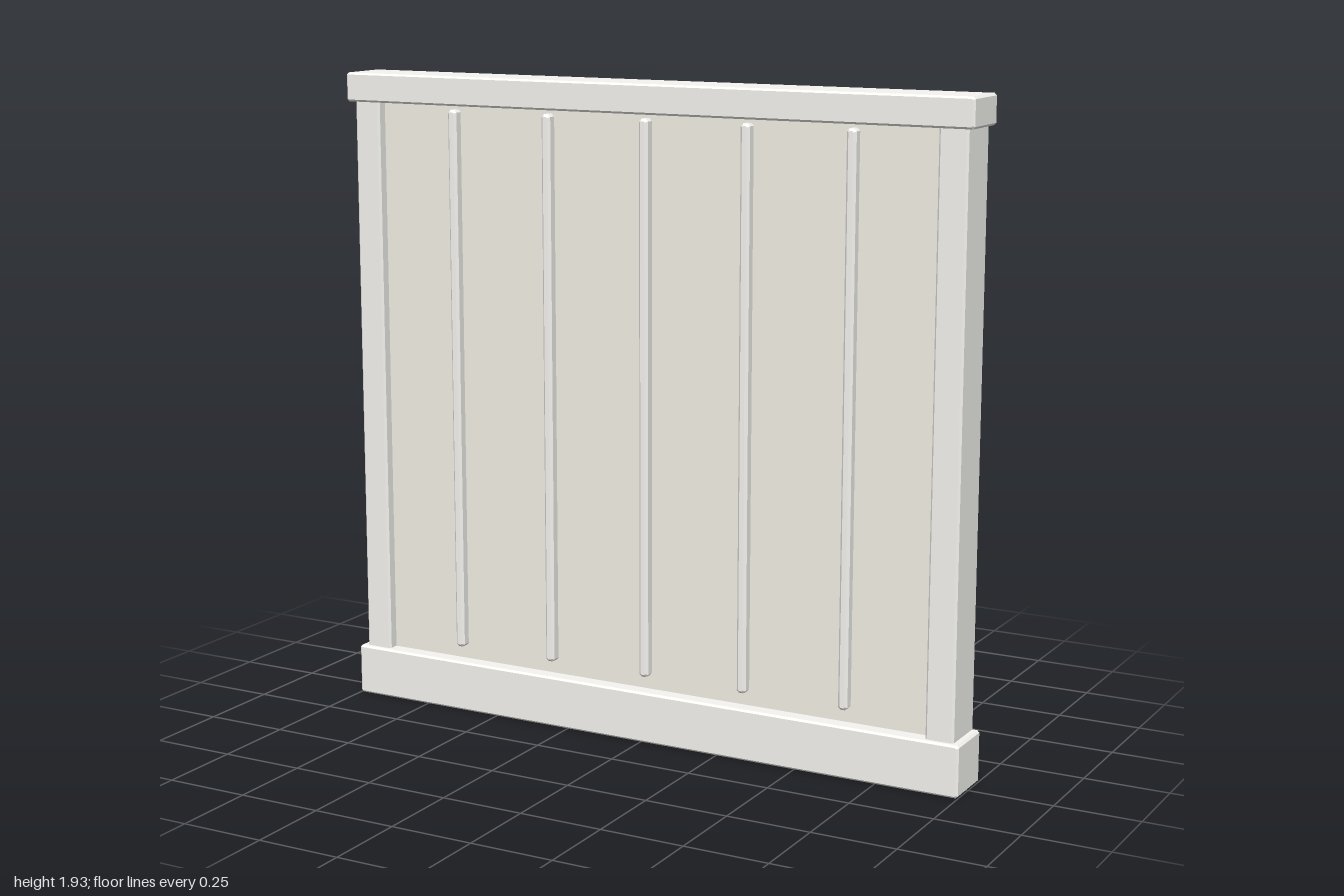
import * as THREE from 'three';

const BACK = -0.081;
const trim = new THREE.MeshStandardMaterial({ color: 0xf6f5f1 });
const board = new THREE.MeshStandardMaterial({ color: 0xf3f0e6 });

// Bar with all edges chamfered by b, given by its x, y and z limits
function bar(name, [x0, x1], [y0, y1], [z0, z1], b) {
  const w = (x1 - x0) / 2 - b, h = (y1 - y0) / 2 - b, c = b / 2;
  const outline = new THREE.Shape([
    [w - c, -h], [w, c - h], [w, h - c], [w - c, h],
    [c - w, h], [-w, h - c], [-w, c - h], [c - w, -h],
  ].map(([x, y]) => new THREE.Vector2(x, y)));
  const geometry = new THREE.ExtrudeGeometry(outline, {
    depth: z1 - z0 - 2 * b, bevelSize: b, bevelThickness: b, bevelSegments: 1,
  });
  const mesh = new THREE.Mesh(geometry, trim);
  mesh.name = name;
  mesh.position.set((x0 + x1) / 2, (y0 + y1) / 2, z0 + b);
  return mesh;
}

export function createModel() {
  const wall = new THREE.Group();
  wall.name = 'wallPanel';

  // Recessed backing board, covering the frame at the back
  const panel = new THREE.Mesh(new THREE.BoxGeometry(1.946, 1.916, 0.117), board);
  panel.name = 'panel';
  panel.position.set(0, 0.964, BACK - 0.001 + 0.0585);
  wall.add(panel);

  // Top and bottom rails
  wall.add(bar('bottomRail', [-1, 1], [0, 0.153], [BACK, 0.082], 0.006));
  wall.add(bar('topRail', [-1, 1], [1.842, 1.928], [BACK, 0.082], 0.006));

  // Side posts
  for (const [name, s] of [['leftPost', 1], ['rightPost', -1]]) {
    const x = [0.894 * s, 0.979 * s].sort((a, b) => a - b);
    wall.add(bar(name, x, [0.14, 1.85], [BACK, 0.067], 0.006));
  }

  // Slim vertical battens, evenly spaced
  for (let i = -2; i <= 2; i++) {
    const x = i * 0.32;
    wall.add(bar('batten', [x - 0.0145, x + 0.0145], [0.194, 1.829], [0.02, 0.064], 0.007));
  }
  return wall;
}
